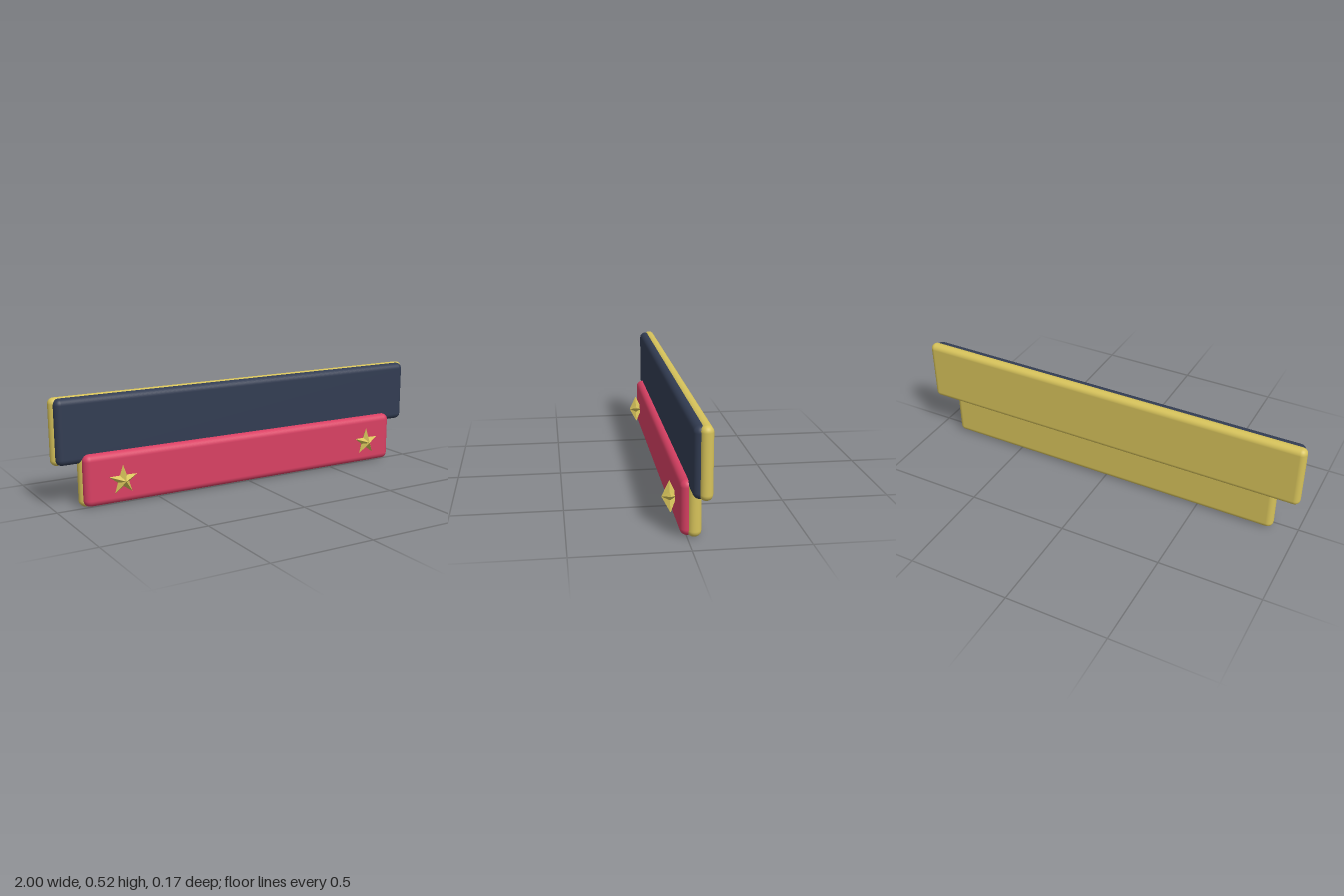
import * as THREE from 'three';
import { RoundedBoxGeometry } from 'three/addons/geometries/RoundedBoxGeometry.js';

const gold = new THREE.MeshStandardMaterial({ color: 0xd6c25a });
gold.name = 'gold';
const starGold = gold.clone();
starGold.flatShading = true;
starGold.name = 'faceted gold';
const navy = new THREE.MeshStandardMaterial({ color: 0x323c52 });
navy.name = 'navy';
const red = new THREE.MeshStandardMaterial({ color: 0xd84063 });
red.name = 'crimson';

// Rounded slab given by its half width and its y and z limits
function slab(name, material, halfWidth, y0, y1, z0, z1) {
  const depth = z1 - z0;
  const geometry = new RoundedBoxGeometry(halfWidth * 2, y1 - y0, depth, 5, depth * 0.49);
  const mesh = new THREE.Mesh(geometry, material);
  mesh.name = name;
  mesh.position.set(0, (y0 + y1) / 2, (z0 + z1) / 2);
  return mesh;
}

// Five-pointed faceted star, with a raised peak on both sides
function starGeometry(outer, inner, peak) {
  const rim = [];
  for (let i = 0; i < 10; i++) {
    const a = Math.PI / 2 + (i * Math.PI) / 5;
    const r = i % 2 ? inner : outer;
    rim.push([r * Math.cos(a), r * Math.sin(a), 0]);
  }
  const points = [];
  for (let i = 0; i < 10; i++) {
    const a = rim[i], b = rim[(i + 1) % 10];
    points.push(...a, ...b, 0, 0, peak);
    points.push(...b, ...a, 0, 0, -peak);
  }
  const geometry = new THREE.BufferGeometry();
  geometry.setAttribute('position', new THREE.Float32BufferAttribute(points, 3));
  geometry.computeVertexNormals();
  return geometry;
}

export function createModel() {
  const model = new THREE.Group();
  model.name = 'signBoard';

  // Upper board: gold backing with a navy face
  model.add(slab('upperBacking', gold, 1, 0.203, 0.516, -0.086, -0.03));
  model.add(slab('upperFace', navy, 0.985, 0.206, 0.513, -0.065, -0.005));

  // Lower board: gold backing with a crimson face
  model.add(slab('lowerBacking', gold, 0.884, 0, 0.25, -0.061, 0));
  model.add(slab('lowerFace', red, 0.872, 0.004, 0.25, -0.035, 0.029));

  // Stars at both ends of the lower board
  const star = starGeometry(0.073, 0.029, 0.034);
  for (const side of [-1, 1]) {
    const mesh = new THREE.Mesh(star, starGold);
    mesh.name = side > 0 ? 'leftStar' : 'rightStar';
    mesh.position.set(side * 0.697, 0.122, 0.052);
    model.add(mesh);
  }
  return model;
}
